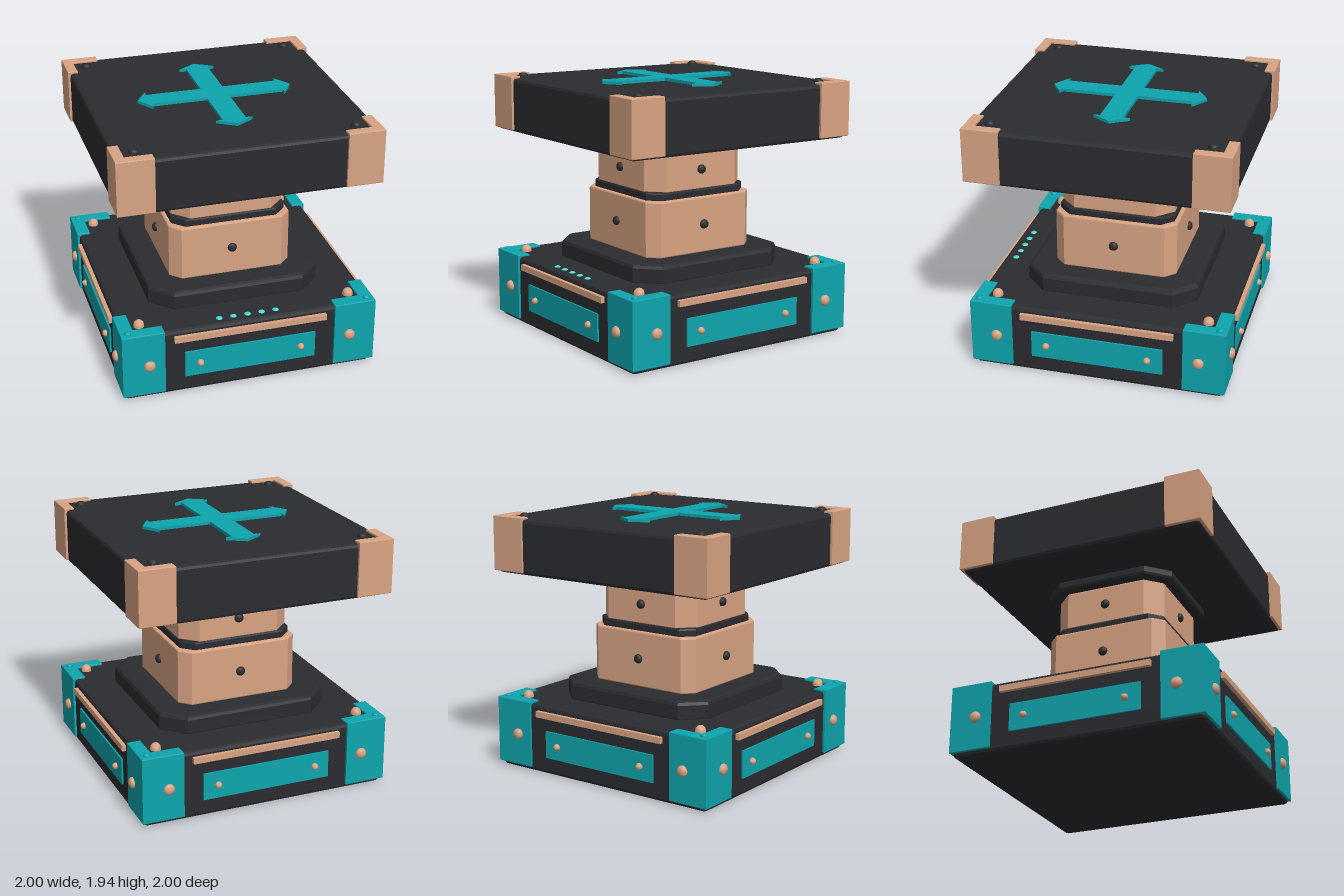
import * as THREE from 'three';

const mat = (color) => new THREE.MeshStandardMaterial({ color });
const dark = mat(0x2b2c30), copper = mat(0xd9a483), teal = mat(0x0ea5ae), glow = mat(0x45d8d0);

const polygon = (points) => new THREE.Shape(points.map(([x, y]) => new THREE.Vector2(x, y)));

// Upright extrusion of a plan outline (x, -z) from y0 to y1 with bevelled edges.
function extrudeUp(shape, y0, y1, bevel) {
  const geo = new THREE.ExtrudeGeometry(shape, {
    depth: y1 - y0 - 2 * bevel, bevelEnabled: bevel > 0, bevelThickness: bevel,
    bevelSize: bevel, bevelOffset: -bevel, bevelSegments: 2,
  });
  return geo.rotateX(-Math.PI / 2).translate(0, y0 + bevel, 0);
}

// Square plan of half-width h with cut corners.
function cutSquare(h, c) {
  const k = h - c;
  return polygon([[h, -k], [h, k], [k, h], [-k, h], [-h, k], [-h, -k], [-k, -h], [k, -h]]);
}

// L-shaped plan wrapped around the front left corner.
function cornerPlan(outer, inner, end) {
  return polygon([[outer, -outer], [outer, -end], [inner, -end], [inner, -inner], [end, -inner], [end, -outer]]);
}

// Low domed bolt head standing on y = 0.
function boltGeometry(r, h) {
  const profile = [[r, -0.02], [r, h * 0.25], [r * 0.85, h * 0.65], [r * 0.5, h * 0.93], [0, h]];
  return new THREE.LatheGeometry(profile.map(([x, y]) => new THREE.Vector2(x, y)), 16);
}

export function createModel() {
  const model = new THREE.Group();

  function add(parent, name, geo, material, x = 0, y = 0, z = 0) {
    const mesh = new THREE.Mesh(geo, material);
    mesh.name = name;
    mesh.position.set(x, y, z);
    parent.add(mesh);
    return mesh;
  }

  // Central stack: name, half-width, corner cut, bottom, top, bevel, material
  const stack = [
    ['base', 0.95, 0.02, 0, 0.525, 0.025, dark],
    ['pedestal', 0.66, 0.16, 0.5, 0.66, 0.03, dark],
    ['lowerColumn', 0.468, 0.08, 0.655, 1.08, 0.012, copper],
    ['columnGasket', 0.44, 0.09, 1.07, 1.14, 0.015, dark],
    ['upperColumn', 0.432, 0.12, 1.13, 1.435, 0.012, copper],
    ['collar', 0.51, 0.16, 1.43, 1.52, 0.025, dark],
    ['platform', 0.95, 0.02, 1.5, 1.912, 0.025, dark],
  ];
  for (const [name, half, cut, y0, y1, bevel, material] of stack) {
    add(model, name, extrudeUp(cutSquare(half, cut), y0, y1, bevel), material);
  }

  // Shared geometries
  const lowerBracket = extrudeUp(cornerPlan(0.968, 0.865, 0.65), 0.03, 0.54, 0.006);
  const upperBracket = extrudeUp(cornerPlan(0.968, 0.89, 0.695), 1.515, 1.928, 0.006);
  const panel = new THREE.BoxGeometry(1, 0.208, 0.03);
  const strip = new THREE.BoxGeometry(1.16, 0.046, 0.04);
  const bigBolt = boltGeometry(0.042, 0.032);
  const panelBolt = boltGeometry(0.026, 0.032);
  const columnBolt = boltGeometry(0.035, 0.03);
  const topBolt = boltGeometry(0.038, 0.03);
  const baseBolt = boltGeometry(0.04, 0.05);
  const smallBolt = boltGeometry(0.026, 0.018);
  const arrowHead = extrudeUp(polygon([[-0.135, -0.5], [0, -0.585], [0.135, -0.5]]), 1.9, 1.934, 0);

  // Each quarter holds one side and one corner.
  for (let i = 0; i < 4; i++) {
    const side = new THREE.Group();
    side.name = 'quarter' + (i + 1);
    side.rotation.y = i * Math.PI / 2;
    model.add(side);
    const faceBolt = (name, geo, material, x, y, z) => {
      add(side, name, geo, material, x, y, z).rotation.x = Math.PI / 2;
    };

    add(side, 'lowerCornerBracket', lowerBracket, teal);
    add(side, 'upperCornerBracket', upperBracket, copper);
    add(side, 'sidePanel', panel, teal, 0, 0.235, 0.948);
    add(side, 'trimStrip', strip, copper, 0, 0.462, 0.96);
    for (const s of [-1, 1]) {
      faceBolt('bracketBolt', bigBolt, copper, s * 0.768, 0.275, 0.968);
      faceBolt('panelBolt', panelBolt, copper, s * 0.386, 0.235, 0.963);
    }
    faceBolt('lowerColumnBolt', columnBolt, dark, 0, 0.873, 0.468);
    faceBolt('upperColumnBolt', columnBolt, dark, 0, 1.283, 0.432);

    // Bolts standing on the corners
    add(side, 'baseBolt', baseBolt, copper, 0.805, 0.525, 0.805);
    add(side, 'bracketTopBolt', smallBolt, teal, 0.912, 0.54, 0.912);
    add(side, 'platformBolt', topBolt, dark, 0.803, 1.912, 0.803);
    add(side, 'arrowHead', arrowHead, teal);
  }

  // Raised cross joining the four arrow heads
  const a = 0.085, b = 0.5;
  const cross = polygon([
    [b, -a], [b, a], [a, a], [a, b], [-a, b], [-a, a],
    [-b, a], [-b, -a], [-a, -a], [-a, -b], [a, -b], [a, -a],
  ]);
  add(model, 'cross', extrudeUp(cross, 1.9, 1.935, 0), teal);

  // Row of indicator lights along the front
  const light = new THREE.SphereGeometry(0.026, 16, 8).scale(1, 0.55, 1);
  for (let i = -2; i <= 2; i++) add(model, 'indicatorLight', light, glow, i * 0.108, 0.522, 0.865);

  return model;
}
